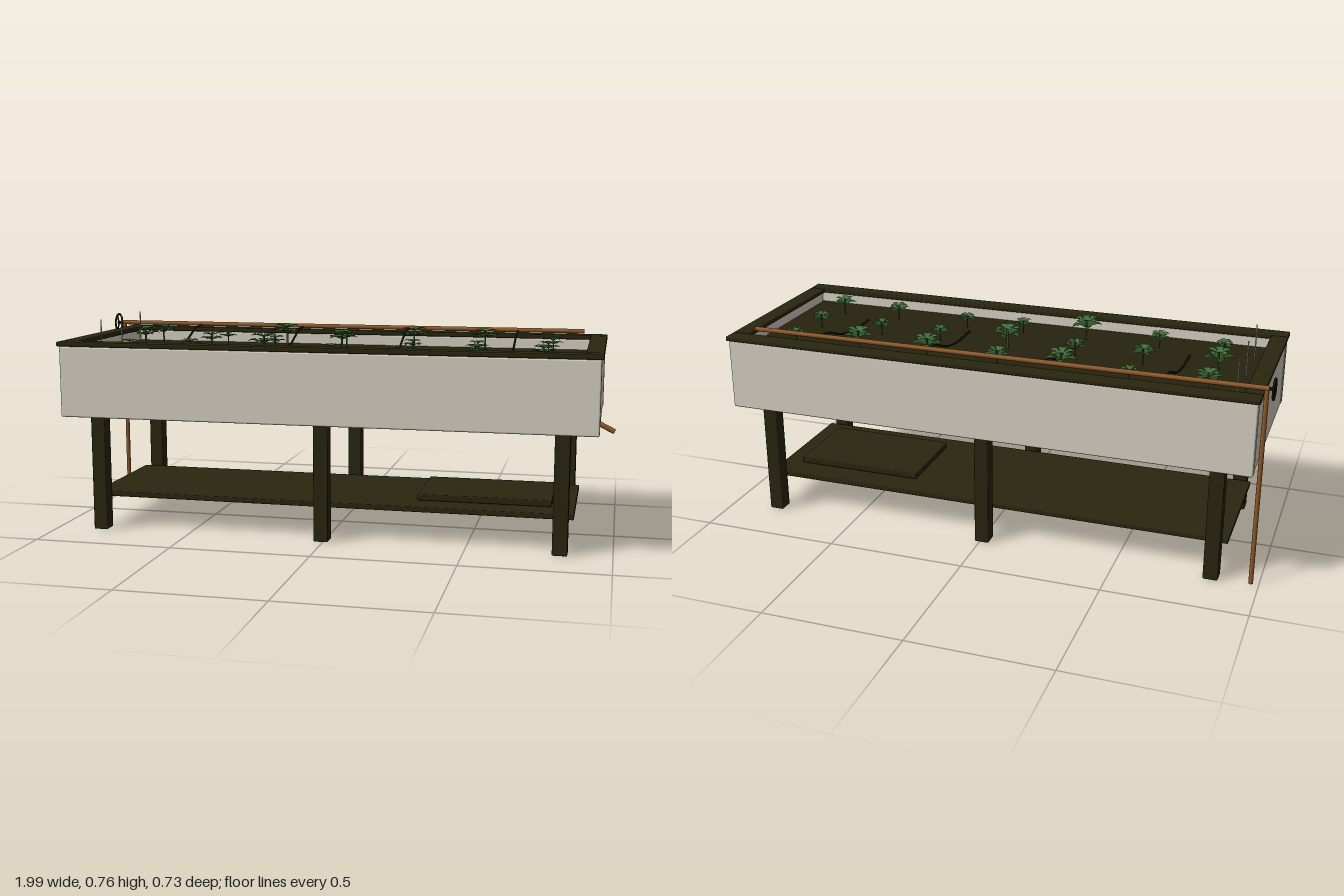
import * as THREE from 'three';
import { RoundedBoxGeometry } from 'three/addons/geometries/RoundedBoxGeometry.js';

const mat = (name, color, extra = {}) => {
  const m = new THREE.MeshStandardMaterial({ color, ...extra });
  m.name = name;
  return m;
};

export function createModel() {
  const model = new THREE.Group();
  model.name = 'raisedPlanter';
  const leafSide = { side: THREE.DoubleSide, flatShading: true };
  const wood = mat('darkWood', 0x29260f);
  const soilMat = mat('soil', 0x27230f);
  const panel = mat('palePanel', 0xdad4c5);
  const copper = mat('copper', 0x8f5a2c);
  const black = mat('blackIron', 0x14130c);
  const stakeMat = mat('stakeGrey', 0xc4c2ba);
  const leafDark = mat('leafDark', 0x2f5429, leafSide);
  const leafLight = mat('leafLight', 0x426f3a, leafSide);

  const add = (name, geo, m, parent = model) => {
    const mesh = new THREE.Mesh(geo, m);
    mesh.name = name;
    parent.add(mesh);
    return mesh;
  };
  // Rounded box given by its extents on each axis
  const box = (name, m, [x0, x1], [y0, y1], [z0, z1], r = 0.004) => {
    const g = new RoundedBoxGeometry(x1 - x0, y1 - y0, z1 - z0, 2, r);
    g.translate((x0 + x1) / 2, (y0 + y1) / 2, (z0 + z1) / 2);
    return add(name, g, m);
  };
  // Straight round bar between two points
  const bar = (name, m, a, b, r, parent = model) => {
    const p = new THREE.Vector3(...a), q = new THREE.Vector3(...b);
    const mesh = add(name, new THREE.CylinderGeometry(r, r, p.distanceTo(q), 12), m, parent);
    mesh.position.copy(p).lerp(q, 0.5);
    mesh.quaternion.setFromUnitVectors(new THREE.Vector3(0, 1, 0), q.sub(p).normalize());
    return mesh;
  };

  // Trough: long sides, ends, floor and soil
  const soilY = 0.635;
  for (const s of [-1, 1]) {
    const span = (a, b) => (s > 0 ? [a, b] : [-b, -a]);
    box('longSide', panel, [-0.958, 0.943], [0.42, 0.675], span(0.319, 0.355), 0.006);
    box('rimLong', wood, [-0.965, 0.95], [0.675, 0.692], span(0.302, 0.363), 0.005);
  }
  for (const [x0, x1] of [[-0.956, -0.92], [0.905, 0.941]])
    box('endPanel', panel, [x0, x1], [0.42, 0.675], [-0.316, 0.316], 0.006);
  for (const [x0, x1] of [[-0.965, -0.904], [0.889, 0.95]])
    box('rimEnd', wood, [x0, x1], [0.675, 0.692], [-0.3, 0.3], 0.005);
  box('troughFloor', panel, [-0.93, 0.915], [0.425, 0.445], [-0.325, 0.325], 0.002);
  box('soil', soilMat, [-0.93, 0.915], [0.45, soilY], [-0.325, 0.325], 0.002);

  // Six legs, shelf and the board lying on it
  for (const x of [-0.837, -0.008, 0.823])
    for (const z of [-0.285, 0.285])
      box('leg', wood, [x - 0.026, x + 0.026], [0, 0.421], [z - 0.027, z + 0.027]);
  box('shelf', wood, [-0.88, 0.865], [0.11, 0.129], [-0.245, 0.245]);
  box('shelfBoard', wood, [0.31, 0.785], [0.132, 0.155], [-0.157, 0.157]);

  // Water supply: riser, long pipe, drip lines and outlet
  const pipeZ = -0.288, pipeY = 0.708;
  bar('riserPipe', copper, [-0.972, 0, pipeZ], [-0.972, pipeY, pipeZ], 0.008);
  bar('supplyPipe', copper, [-0.98, pipeY, pipeZ], [0.865, pipeY, pipeZ], 0.0085);
  bar('drainSpout', copper, [0.93, 0.438, 0.16], [0.99, 0.408, 0.16], 0.009);
  for (const x of [-0.643, -0.222, 0.198, 0.618]) {
    const path = new THREE.CatmullRomCurve3([
      [x, pipeY - 0.004, pipeZ], [x, 0.695, -0.21], [x, 0.655, -0.1],
      [x, soilY + 0.004, 0], [x, soilY + 0.004, 0.135],
    ].map((p) => new THREE.Vector3(...p)));
    add('dripLine', new THREE.TubeGeometry(path, 20, 0.004, 8), black);
  }

  // Valve wheel, turning about x
  const wheel = new THREE.Group();
  wheel.name = 'valveWheel';
  wheel.position.set(-0.995, 0.706, -0.284);
  add('wheelRim', new THREE.TorusGeometry(0.0345, 0.0038, 8, 32), black, wheel).rotation.y = Math.PI / 2;
  for (let i = 0; i < 3; i++) {
    const a = (i * 2 * Math.PI) / 3;
    bar('wheelSpoke', black, [0, 0, 0], [0, Math.sin(a) * 0.034, -Math.cos(a) * 0.034], 0.003, wheel);
  }
  bar('wheelHub', black, [-0.004, 0, 0], [0.02, 0, 0], 0.006, wheel);
  model.add(wheel);

  // Thin marker stakes at one end
  for (const z of [-0.19, 0, 0.19])
    bar('markerStake', stakeMat, [-0.865, soilY - 0.01, z], [-0.865, 0.76, z], 0.0022);

  // Leaf: folded along its midrib, growing along +z, unit length
  const ribs = [[0, 0.03, 0], [0.3, 0.2, 0.12], [0.58, 0.32, 0.2], [0.82, 0.18, 0.2], [1, 0.01, 0.14]];
  const pos = [], idx = [];
  ribs.forEach(([z, w, y], i) => {
    pos.push(-w, y + w * 0.25, z, 0, y, z, w, y + w * 0.25, z);
    if (i === 0) return;
    const b = i * 3, a = b - 3;
    for (const k of [0, 1]) idx.push(a + k, b + k, a + k + 1, a + k + 1, b + k, b + k + 1);
  });
  const leaf = new THREE.BufferGeometry();
  leaf.setAttribute('position', new THREE.Float32BufferAttribute(pos, 3));
  leaf.setIndex(idx);
  leaf.computeVertexNormals();

  // Plants: two whorls of five leaves on a short stem
  const rows = [
    [-0.19, [[-0.767, 0.05], [-0.5, 0.036], [-0.26, 0.058], [-0.025, 0.045], [0.237, 0.056], [0.505, 0.055], [0.757, 0.036]]],
    [0, [[-0.767, 0.056], [-0.503, 0.044], [-0.255, 0.04], [0, 0.057], [0.263, 0.038], [0.5, 0.038], [0.75, 0.04]]],
    [0.19, [[-0.755, 0.036], [-0.52, 0.04], [-0.243, 0.057], [0.003, 0.036], [0.228, 0.034], [0.513, 0.042], [0.745, 0.044]]],
  ];
  let seed = 7;
  const rand = () => (seed = (seed * 16807) % 2147483647) / 2147483647;
  for (const [z, list] of rows) for (const [x, r] of list) {
    const plant = new THREE.Group();
    plant.name = 'plant';
    plant.position.set(x, soilY, z);
    plant.rotation.y = rand() * Math.PI * 2;
    bar('stem', leafDark, [0, 0, 0], [0, r * 1.35, 0], r * 0.06, plant);
    for (let i = 0; i < 10; i++) {
      const top = i >= 5;
      const l = add('leaf', leaf, top ? leafLight : leafDark, plant);
      l.position.y = r * (top ? 1.28 : 0.9);
      l.rotation.y = ((i % 5) + (top ? 0.4 : 0)) * Math.PI * 0.4 + (rand() - 0.5) * 0.3;
      l.scale.setScalar(r * (top ? 0.85 : 1.02));
    }
    model.add(plant);
  }
  return model;
}
